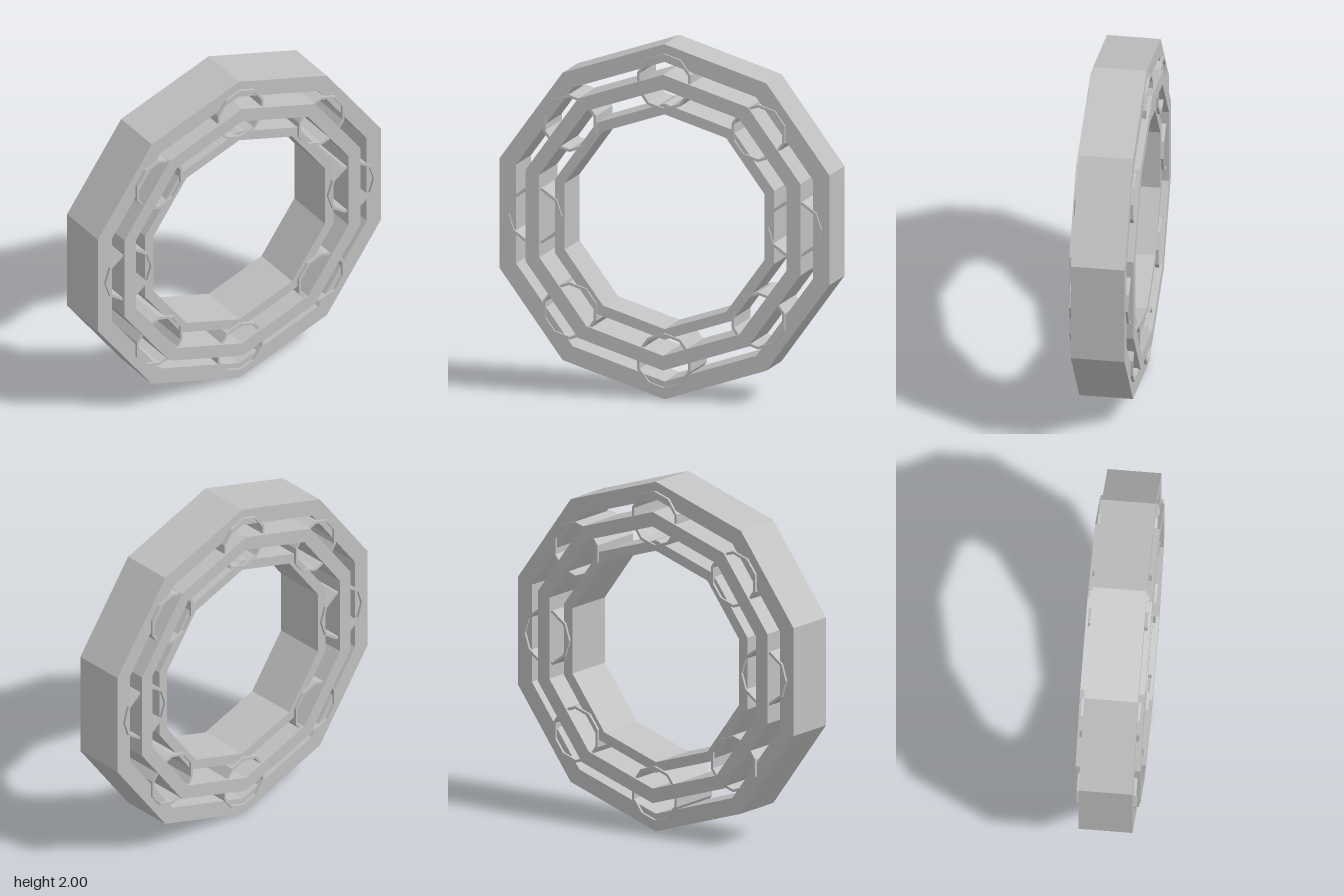
import * as THREE from 'three';

const SIDES = 10;

// Ten-sided outline with a corner pointing up
function outline(target, radius) {
  const points = [];
  for (let i = 0; i < SIDES; i++) {
    const a = Math.PI / 2 + (i / SIDES) * Math.PI * 2;
    points.push(new THREE.Vector2(radius * Math.cos(a), radius * Math.sin(a)));
  }
  return target.setFromPoints(points);
}

// Faceted tube along z, centred on z = 0
function ringGeometry(outer, inner, depth) {
  const shape = outline(new THREE.Shape(), outer);
  shape.holes.push(outline(new THREE.Path(), inner));
  const geometry = new THREE.ExtrudeGeometry(shape, { depth, bevelEnabled: false });
  return geometry.translate(0, 0, -depth / 2);
}

export function createModel() {
  const steel = new THREE.MeshStandardMaterial({ color: 0xc0c0c0 });
  steel.name = 'steel grey';

  const bearing = new THREE.Group();
  bearing.name = 'bearing';

  function addRing(name, geometry, x = 0, y = 0, turn = 0) {
    const mesh = new THREE.Mesh(geometry, steel);
    mesh.name = name;
    mesh.position.set(x, 1 + y, 0);
    mesh.rotation.z = turn;
    bearing.add(mesh);
  }

  // Three concentric rings
  addRing('outerRace', ringGeometry(1, 0.9, 0.3));
  addRing('cage', ringGeometry(0.833, 0.75, 0.36));
  addRing('innerRace', ringGeometry(0.665, 0.605, 0.3));

  // Eight hollow rollers spaced along the cage
  const roller = ringGeometry(0.161, 0.146, 0.33);
  for (const s of [-1, 1]) {
    addRing('roller', roller, 0, s * 0.787);
    addRing('roller', roller, s * 0.748, 0, Math.PI / 2);
    for (const t of [-1, 1]) addRing('roller', roller, s * 0.544, t * 0.528);
  }

  return bearing;
}
